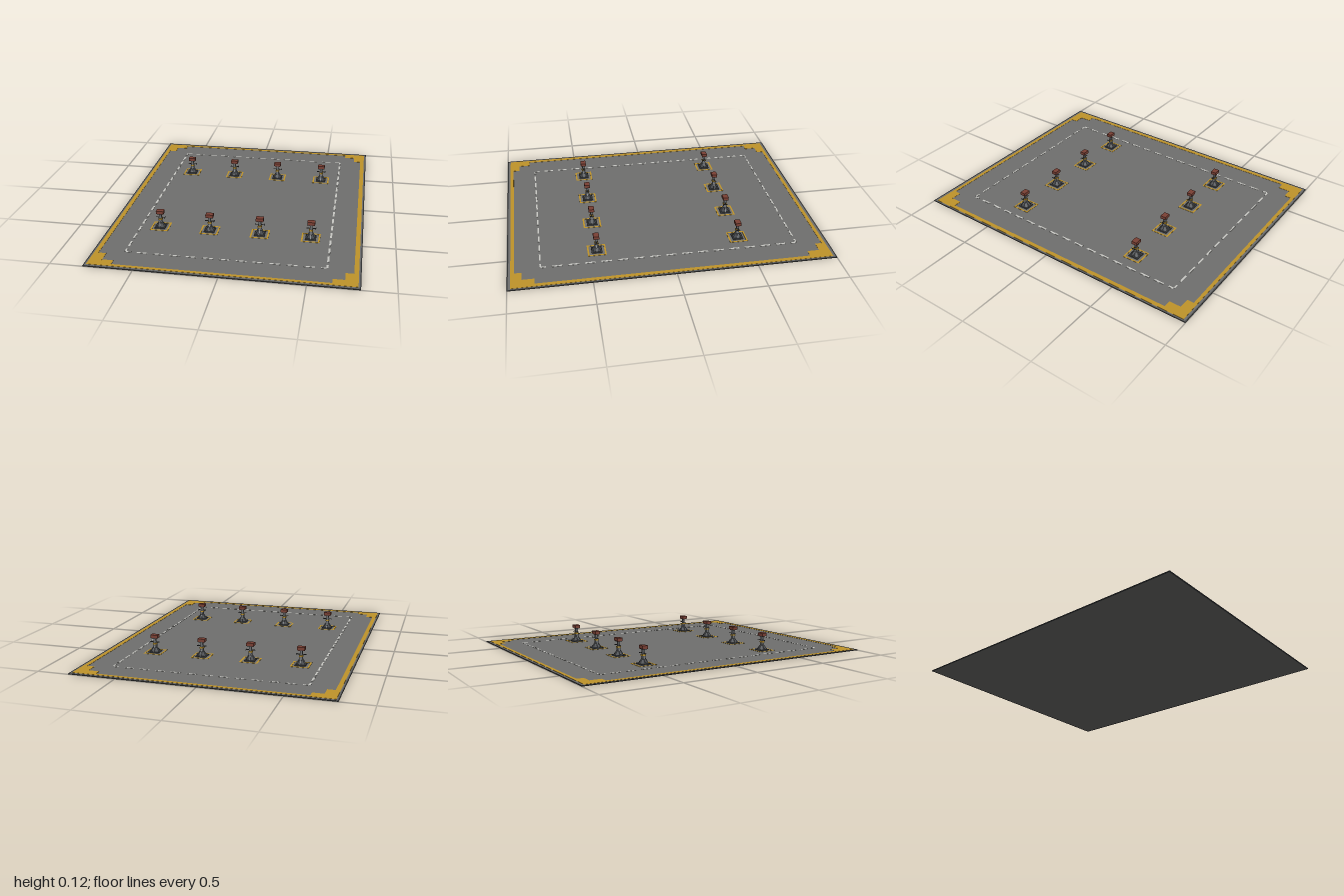
import * as THREE from 'three';

const mat = (name, color) => {
  const m = new THREE.MeshStandardMaterial({ color });
  m.name = name;
  return m;
};

export function createModel() {
  const concrete = mat('concrete grey', 0x70706e);
  const edge = mat('edge grey', 0x4c4e50);
  const yellow = mat('safety yellow', 0xc0942a);
  const white = mat('line white', 0xc8c8c4);
  const steel = mat('steel grey', 0x6a6d70);
  const dark = mat('dark steel', 0x43464a);
  const red = mat('saddle red', 0x7a4034);

  const group = new THREE.Group();
  const TOP = 0.005; // floor surface height

  const add = (parent, name, geometry, material, x = 0, y = 0, z = 0) => {
    const mesh = new THREE.Mesh(geometry, material);
    mesh.name = name;
    mesh.position.set(x, y, z);
    parent.add(mesh);
    return mesh;
  };
  const box = (parent, name, material, w, h, d, x, y, z) =>
    add(parent, name, new THREE.BoxGeometry(w, h, d), material, x, y, z);

  // Thin painted plate lying on the floor
  const paint = (parent, name, material, w, d, x, z, h = 0.0012) =>
    box(parent, name, material, w, h, d, x, TOP + h / 2, z);

  // Floor slab with a darker rim
  box(group, 'floorSlab', concrete, 1.584, TOP, 1.984, 0, TOP / 2, 0);
  for (const s of [-1, 1]) {
    box(group, 'floorRimSide', edge, 0.008, TOP, 2, s * 0.796, TOP / 2, 0);
    box(group, 'floorRimEnd', edge, 1.584, TOP, 0.008, 0, TOP / 2, s * 0.996);
  }

  // Yellow border and stepped corner marks
  for (const s of [-1, 1]) {
    paint(group, 'borderSide', yellow, 0.027, 1.96, s * 0.772, 0);
    paint(group, 'borderEnd', yellow, 1.517, 0.022, 0, s * 0.969);
    for (const t of [-1, 1]) {
      paint(group, 'cornerMarkLong', yellow, 0.0485, 0.118, s * 0.7343, t * 0.899);
      paint(group, 'cornerMarkStep', yellow, 0.07, 0.043, s * 0.675, t * 0.9365);
    }
  }

  // Dashed white rectangle, one dash every 0.1, trimmed at the corners
  const dashes = (half, draw) => {
    const n = Math.round(half * 10);
    for (let i = -n; i <= n; i++) {
      const a = Math.max(i * 0.1 - 0.032, -half);
      const b = Math.min(i * 0.1 + 0.032, half);
      draw(b - a, (a + b) / 2);
    }
  };
  for (const s of [-1, 1]) {
    dashes(0.6, (len, c) => paint(group, 'dashEnd', white, len, 0.01, c, s * 0.802));
    dashes(0.8, (len, c) => paint(group, 'dashSide', white, 0.012, len, s * 0.604, c));
  }

  // Sloping gusset plate that braces the column
  const gussetShape = new THREE.Shape();
  gussetShape.moveTo(0.008, 0);
  gussetShape.lineTo(0.031, 0);
  gussetShape.lineTo(0.031, 0.004);
  gussetShape.lineTo(0.008, 0.038);
  const gussetGeometry = new THREE.ExtrudeGeometry(gussetShape, { depth: 0.006, bevelEnabled: false });
  gussetGeometry.translate(0, 0, -0.003);

  // Support stand, built at its own floor position
  const makeStand = () => {
    const stand = new THREE.Group();
    stand.name = 'supportStand';
    for (const s of [-1, 1]) {
      paint(stand, 'standFrameSide', yellow, 0.01, 0.116, s * 0.053, 0);
      paint(stand, 'standFrameEnd', yellow, 0.096, 0.01, 0, s * 0.053);
    }
    box(stand, 'basePlate', dark, 0.066, 0.006, 0.066, 0, TOP + 0.003, 0);
    const foot = add(stand, 'taperedFoot',
      new THREE.CylinderGeometry(0.015, 0.034, 0.026, 4), dark, 0, 0.024, 0);
    foot.rotation.y = Math.PI / 4;
    foot.material = dark;
    for (let i = 0; i < 4; i++) {
      const gusset = add(stand, 'gusset', gussetGeometry, steel, 0, 0.011, 0);
      gusset.rotation.y = i * Math.PI / 2;
    }
    box(stand, 'column', steel, 0.02, 0.05, 0.02, 0, 0.036, 0);
    box(stand, 'collar', yellow, 0.024, 0.008, 0.024, 0, 0.061, 0);
    box(stand, 'innerPost', steel, 0.015, 0.04, 0.015, 0, 0.08, 0);
    const pin = add(stand, 'lockingPin',
      new THREE.CylinderGeometry(0.0028, 0.0028, 0.06, 8), dark, 0, 0.072, 0);
    pin.rotation.z = Math.PI / 2;
    box(stand, 'pinHandle', dark, 0.003, 0.004, 0.026, 0.029, 0.072, 0);
    box(stand, 'saddlePlate', dark, 0.038, 0.004, 0.028, 0, 0.098, 0);
    box(stand, 'saddle', red, 0.048, 0.02, 0.036, 0, 0.11, 0);
    return stand;
  };

  // Two rows of four stands
  for (const z of [-0.45, 0.45]) {
    for (const x of [-0.48, -0.16, 0.16, 0.48]) {
      const stand = makeStand();
      stand.position.set(x, 0, z);
      group.add(stand);
    }
  }
  return group;
}
